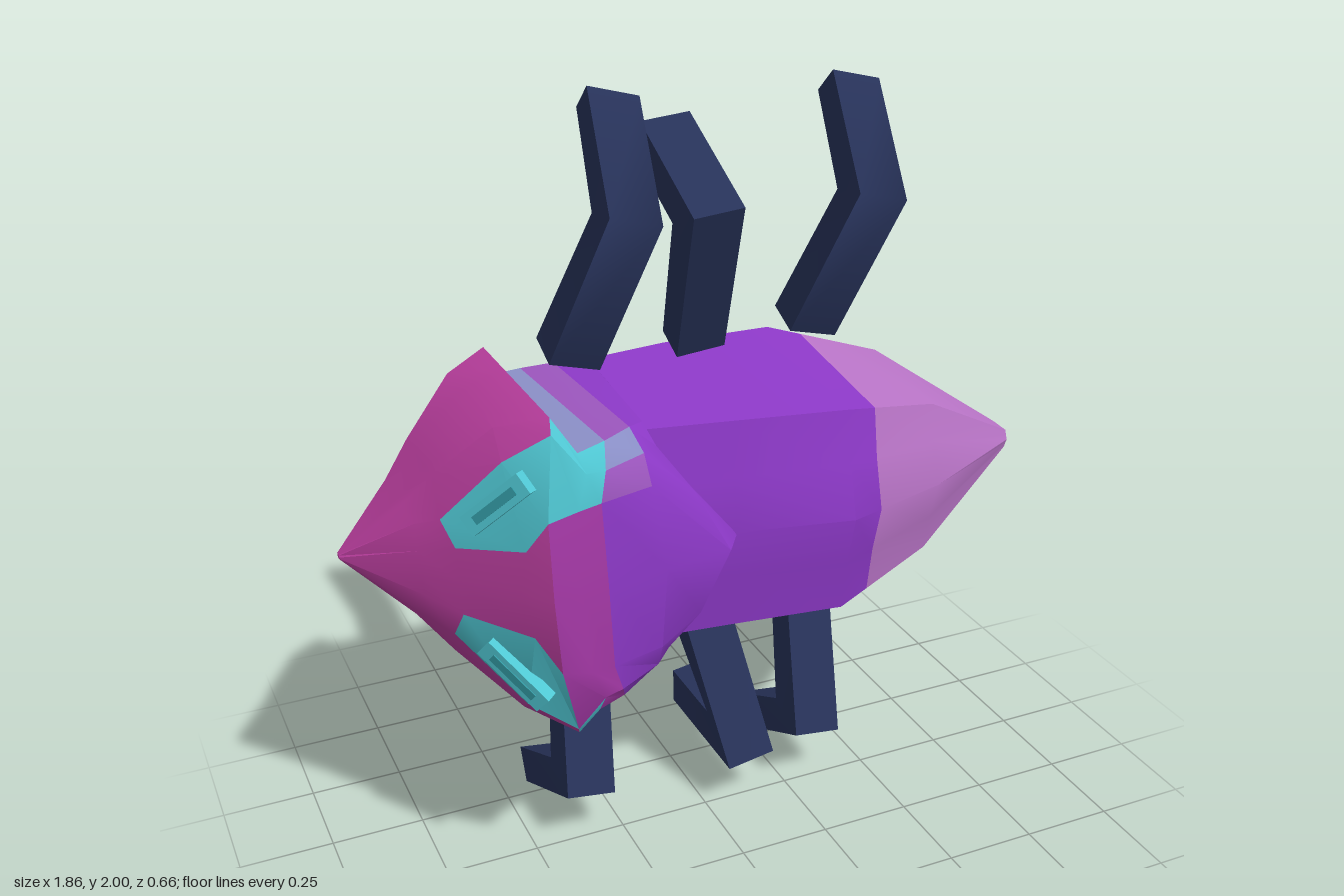
import * as THREE from 'three';
import { toCreasedNormals } from 'three/addons/utils/BufferGeometryUtils.js';

const mat = (name, color) => {
  const m = new THREE.MeshStandardMaterial({ color });
  m.name = name;
  return m;
};

// Joins closed rings of points into a skin; pick(band, column) gives each strip its material index
function loft(rings, pick, caps, crease) {
  const bins = [];
  const tri = (k, ...pts) => {
    bins[k] ??= [];
    for (const p of pts) bins[k].push(p.x, p.y, p.z);
  };
  const n = rings[0].length;
  for (let i = 0; i < rings.length - 1; i++) {
    for (let j = 0; j < n; j++) {
      const a = rings[i][j], b = rings[i][(j + 1) % n];
      const c = rings[i + 1][(j + 1) % n], d = rings[i + 1][j];
      const k = pick(i, j);
      tri(k, a, b, c);
      tri(k, a, c, d);
    }
  }
  const first = rings[0], last = rings[rings.length - 1];
  for (let j = 1; j < n - 1; j++) {
    tri(caps[0], first[0], first[j + 1], first[j]);
    tri(caps[1], last[0], last[j], last[j + 1]);
  }
  const geo = new THREE.BufferGeometry();
  const all = [];
  bins.forEach((list, k) => {
    geo.addGroup(all.length / 3, list.length / 3, k);
    for (const v of list) all.push(v);
  });
  geo.setAttribute('position', new THREE.Float32BufferAttribute(all, 3));
  geo.computeVertexNormals();
  return toCreasedNormals(geo, crease);
}

// Half section [x, y, z] from the belly edge to the ridge, mirrored across y
function mirrorRing(half, centerY, shear = 0) {
  const pts = half.map(([x, y, z]) => [x - shear * y, y, z]);
  const other = half.slice(0, -1).reverse().map(([x, y, z]) => [x + shear * y, -y, z]);
  return [...pts, ...other].map(([x, y, z]) => new THREE.Vector3(x, centerY + y, z));
}

export function createModel() {
  const model = new THREE.Group();
  model.name = 'beetle';
  const purple = mat('purple shell', 0x8d39c8);
  const mauve = mat('mauve tail', 0xba75c8);
  const magenta = mat('magenta head', 0xbc3fa0);
  const plum = mat('plum collar', 0xa639a8);
  const teal = mat('teal patch', 0x50c8d4);
  const lavender = mat('lavender patch', 0x8b90c8);
  const violet = mat('violet patch edge', 0x9c56be);
  const navy = mat('navy legs', 0x273259);
  const darkTeal = mat('dark teal eye slot', 0x339aa4);

  const add = (name, geo, material, parent = model) => {
    const mesh = new THREE.Mesh(geo, material);
    mesh.name = name;
    parent.add(mesh);
  };

  // Abdomen: flat belly, ridged back, tapering to the tail
  const abdomen = [
    // x, belly y/z, shoulder y/z, groove y/z, ridge z
    [-0.25, 0.335, -0.255, 0.29, 0.12, 0.14, 0.14, 0.16],
    [0, 0.345, -0.265, 0.285, 0.155, 0.14, 0.175, 0.195],
    [0.3, 0.345, -0.26, 0.28, 0.2, 0.14, 0.222, 0.258],
    [0.6, 0.255, -0.195, 0.21, 0.11, 0.11, 0.13, 0.165],
    [0.93, 0.028, -0.08, 0.025, -0.02, 0.012, -0.016, -0.01],
  ];
  const colourLine = abdomen[2].map((v, i) => v + (abdomen[3][i] - v) * 0.3);
  abdomen.splice(3, 0, colourLine);
  const abdomenRings = abdomen.map(([x, by, bz, sy, sz, gy, gz, rz]) =>
    mirrorRing([[x, by, bz], [x, sy, sz], [x, gy, gz], [x, 0, rz]], 0.952));
  add('abdomen', loft(abdomenRings, (i) => (i < 3 ? 0 : 1), [0, 1], 0.6), [purple, mauve]);

  // Head and thorax: pointed snout, flared ridge, step down, V-shaped rear shield
  const headHalves = [
    [[-0.93, 0.006, -0.11], [-0.93, 0.006, -0.1], [-0.93, 0.005, -0.095], [-0.93, 0.002, -0.09], [-0.93, 0, -0.09]],
    [[-0.78, 0.155, -0.155], [-0.78, 0.15, -0.01], [-0.77, 0.125, 0.05], [-0.77, 0.06, 0.065], [-0.77, 0, 0.07]],
    [[-0.71, 0.24, -0.18], [-0.71, 0.24, 0.045], [-0.72, 0.155, 0.112], [-0.7, 0.09, 0.143], [-0.7, 0, 0.148]],
    [[-0.58, 0.38, -0.215], [-0.58, 0.38, 0.15], [-0.59, 0.325, 0.225], [-0.57, 0.115, 0.278], [-0.59, 0, 0.265]],
    [[-0.475, 0.425, -0.24], [-0.475, 0.425, 0.25], [-0.485, 0.395, 0.28], [-0.525, 0.2, 0.325], [-0.53, 0, 0.33]],
    [[-0.43, 0.345, -0.255], [-0.43, 0.345, 0.29], [-0.42, 0.3, 0.313], [-0.45, 0.215, 0.322], [-0.46, 0, 0.325]],
    [[-0.38, 0.346, -0.26], [-0.35, 0.346, 0.252], [-0.37, 0.295, 0.302], [-0.39, 0.22, 0.312], [-0.39, 0, 0.316]],
    [[-0.29, 0.346, -0.263], [-0.265, 0.342, 0.192], [-0.25, 0.29, 0.238], [-0.25, 0.22, 0.275], [-0.23, 0, 0.29]],
    [[-0.2, 0.346, -0.264], [-0.22, 0.335, 0.16], [-0.2, 0.28, 0.19], [-0.13, 0.17, 0.24], [-0.05, 0, 0.263]],
    [[-0.18, 0.32, -0.21], [-0.2, 0.3, 0.09], [-0.19, 0.26, 0.11], [-0.11, 0.15, 0.15], [0, 0, 0.19]],
  ];
  const headRings = headHalves.map((h) => {
    const between = (t) => h[0].map((v, i) => v + (h[1][i] - v) * t);
    return mirrorRing([h[0], between(0.33), between(0.74), ...h.slice(1)], 0.945, 0.05);
  });
  const MAG = 0, PLUM = 1, PUR = 2, TEAL = 3, LAV = 4, MAU = 5, VIO = 6;
  // Bands run snout to rear; columns run belly edge, three side strips, chamfer, brow, crown
  const upperBands = {
    3: [MAG, MAG, MAG, MAG, TEAL, MAG],
    4: [MAU, LAV, TEAL, TEAL, TEAL, PLUM],
    5: [LAV, LAV, LAV, TEAL, TEAL, PLUM],
    6: [VIO, VIO, VIO, LAV, VIO, PUR],
  };
  const lowerBands = {
    3: [MAG, MAG, MAG, MAG, TEAL, MAG],
    4: [MAU, MAU, TEAL, TEAL, PLUM, PLUM],
    5: [PLUM, PLUM, PLUM, PLUM, PLUM, PLUM],
    6: [PLUM, PLUM, PUR, PUR, PUR, PUR],
  };
  const headColour = (band, j) => {
    if (band < 2) return MAG;
    if (band > 6) return PUR;
    if (j === 12) return band < 4 ? MAG : PLUM;
    const row = Math.max(band, 3);
    return j < 6 ? upperBands[row][j] : lowerBands[row][11 - j];
  };
  add('headAndThorax', loft(headRings, headColour, [MAG, PUR], 0.6),
    [magenta, plum, purple, teal, lavender, mauve, violet]);

  // Eyes: slotted bars lying on the slanted face
  for (const s of [1, -1]) {
    const eye = new THREE.Group();
    eye.name = s > 0 ? 'upperEye' : 'lowerEye';
    const normal = new THREE.Vector3(-0.74, 0.1 * s, 0.66).normalize();
    const along = new THREE.Vector3(0.12, 0.16 * s, 0.13);
    along.addScaledVector(normal, -along.dot(normal)).normalize();
    const across = new THREE.Vector3().crossVectors(normal, along);
    eye.setRotationFromMatrix(new THREE.Matrix4().makeBasis(along, across, normal));
    eye.position.set(-0.61 - 0.01 * s, 0.945 + 0.228 * s, 0.23);
    add('eyeBar', new THREE.BoxGeometry(0.2, 0.055, 0.035), teal, eye);
    add('eyeSlot', new THREE.BoxGeometry(0.14, 0.022, 0.041), darkTeal, eye);
    model.add(eye);
  }

  // Legs: two-part bent bars through hip, knee and foot, mitred at the knee
  function legGeometry(path) {
    const w = 0.067, t = 0.05;
    const [hip, knee, foot] = path.map((p) => new THREE.Vector3(...p));
    const side = (a, b) => {
      const dy = b.y - a.y, dz = b.z - a.z, l = Math.hypot(dy, dz);
      return new THREE.Vector3(0, -dz / l, dy / l);
    };
    const n1 = side(hip, knee), n2 = side(knee, foot);
    const miter = n1.clone().add(n2).normalize();
    miter.divideScalar(miter.dot(n1));
    const slope = (knee.x - hip.x) / (knee.y - hip.y);
    const rings = [[hip, n1], [knee, miter], [foot, n2]].map(([c, n]) =>
      [[-1, -1], [-1, 1], [1, 1], [1, -1]].map(([u, v]) =>
        c.clone().addScaledVector(n, v * t).add(new THREE.Vector3(u * w, -u * w * slope, 0))));
    return loft(rings, () => 0, [0, 0], 1.4);
  }
  const legs = {
    upperFrontLeg: [[-0.29, 1.335, -0.195], [-0.19, 1.715, -0.025], [-0.155, 1.95, -0.225]],
    upperMiddleLeg: [[0.055, 1.325, -0.195], [0.02, 1.7, -0.025], [0.013, 1.845, -0.295]],
    upperRearLeg: [[0.38, 1.325, -0.195], [0.47, 1.7, -0.025], [0.503, 1.935, -0.225]],
    lowerFrontLeg: [[-0.297, 0.585, -0.19], [-0.355, 0.19, -0.02], [-0.368, 0.06, -0.3]],
    lowerMiddleLeg: [[0.047, 0.595, -0.19], [0.113, 0.205, -0.015], [0.113, 0.203, -0.33]],
    lowerRearLeg: [[0.378, 0.595, -0.19], [0.328, 0.2, -0.02], [0.315, 0.065, -0.3]],
  };
  for (const [name, path] of Object.entries(legs)) add(name, legGeometry(path), [navy]);

  return model;
}
